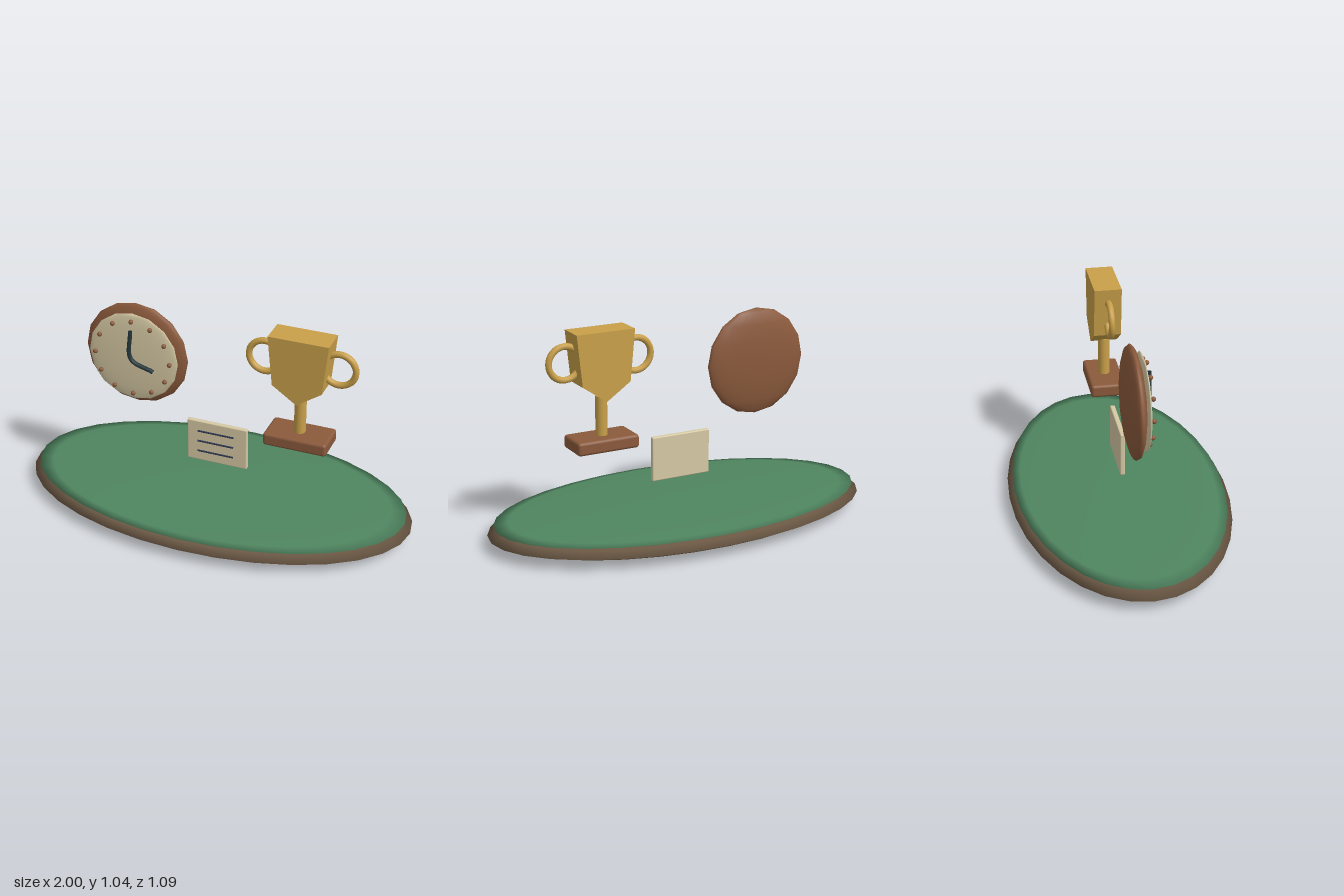
import * as THREE from 'three';
import { RoundedBoxGeometry } from 'three/addons/geometries/RoundedBoxGeometry.js';

const mat = (color) => new THREE.MeshStandardMaterial({ color });
const wood = mat(0x8b5a3c), darkWood = mat(0x6b5844), felt = mat(0x4f8560), gold = mat(0xc9a04a);
const cream = mat(0xd6c9a4), ink = mat(0x2c3550), steel = mat(0x25383c);
steel.side = THREE.DoubleSide;

function add(parent, name, geometry, material, x, y, z) {
  const mesh = new THREE.Mesh(geometry, material);
  mesh.name = name;
  mesh.position.set(x, y, z);
  parent.add(mesh);
  return mesh;
}

// Sphere squashed to the given half sizes
const ellipsoid = (rx, ry, rz, w, h) => new THREE.SphereGeometry(1, w, h).scale(rx, ry, rz);

function createTable() {
  const g = new THREE.Group();
  g.name = 'table';
  add(g, 'tableBase', ellipsoid(1, 0.06, 0.545, 32, 8), darkWood, 0, 0.06, 0);
  add(g, 'feltTop', ellipsoid(0.97, 0.017, 0.52, 32, 8), felt, 0, 0.105, 0);
  return g;
}

function createClock() {
  const g = new THREE.Group();
  g.name = 'clock';
  g.position.set(-0.428, 0.768, 0);
  add(g, 'clockCase', ellipsoid(0.27, 0.27, 0.048, 24, 8), wood, 0, 0, 0);
  add(g, 'clockFace', ellipsoid(0.235, 0.235, 0.018, 24, 8), cream, 0, 0, 0.045);

  // Twelve hour studs
  for (let i = 0; i < 12; i++) {
    const a = (i / 12) * Math.PI * 2;
    add(g, 'hourStud', new THREE.SphereGeometry(0.012, 10, 8), wood,
      Math.sin(a) * 0.197, Math.cos(a) * 0.197, 0.063);
  }

  // Both hands as one bent rod
  const path = new THREE.CatmullRomCurve3([
    new THREE.Vector3(0, 0.152, 0), new THREE.Vector3(0, 0, 0), new THREE.Vector3(0.115, -0.048, 0),
  ]);
  add(g, 'clockHands', new THREE.TubeGeometry(path, 20, 0.011, 8), steel, 0, 0, 0.075);
  return g;
}

function createTrophy() {
  const g = new THREE.Group();
  g.name = 'trophy';
  g.position.x = 0.422;

  // Tapered cup outline extruded front to back
  const outline = new THREE.Shape([
    [-0.15, 1.028], [-0.124, 0.775], [0, 0.69], [0.124, 0.775], [0.15, 1.028],
  ].map(([x, y]) => new THREE.Vector2(x, y)));
  const cup = new THREE.ExtrudeGeometry(outline, { depth: 0.136, bevelEnabled: false });
  add(g, 'cup', cup, gold, 0, 0, -0.068);

  for (const side of [-1, 1]) {
    add(g, 'handle', new THREE.TorusGeometry(0.081, 0.016, 10, 32), gold, side * 0.184, 0.885, 0);
  }
  add(g, 'stem', new THREE.CylinderGeometry(0.029, 0.029, 0.2, 16), gold, 0, 0.605, 0);
  add(g, 'plinth', new RoundedBoxGeometry(0.32, 0.066, 0.176, 3, 0.015), wood, 0, 0.478, 0);
  return g;
}

function createCard() {
  const g = new THREE.Group();
  g.name = 'card';
  add(g, 'cardPanel', new RoundedBoxGeometry(0.315, 0.225, 0.025, 2, 0.006), cream, -0.003, 0.342, 0);
  // Ruled lines on the front
  for (const y of [0.398, 0.341, 0.284]) {
    const line = add(g, 'ruledLine', new THREE.CylinderGeometry(0.005, 0.005, 0.19, 8), ink, -0.011, y, 0.012);
    line.rotation.z = Math.PI / 2;
  }
  return g;
}

export function createModel() {
  const model = new THREE.Group();
  model.name = 'tableWithAwards';
  model.add(createTable(), createClock(), createTrophy(), createCard());
  return model;
}
